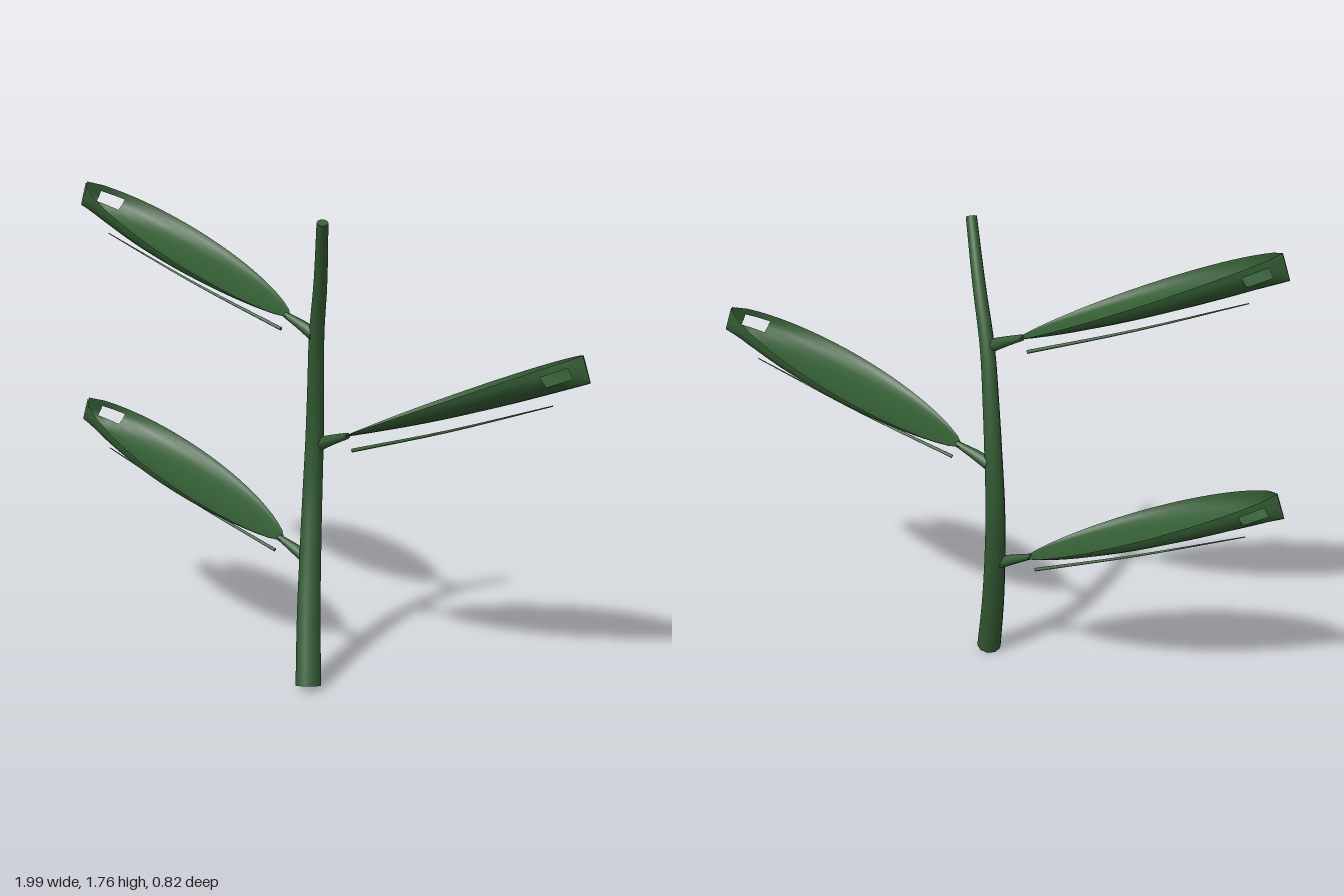
import * as THREE from 'three';

const V = (x, y, z) => new THREE.Vector3(x, y, z);

export function createModel() {
  const group = new THREE.Group();
  const green = new THREE.MeshStandardMaterial({ color: 0x335c33, side: THREE.DoubleSide });
  green.name = 'leafGreen';

  const add = (parent, name, geometry) => {
    const mesh = new THREE.Mesh(geometry, green);
    mesh.name = name;
    parent.add(mesh);
    return mesh;
  };

  // Round rod along a curve, tapering from r0 to r1, with flat end caps
  function taperedRod(parent, name, points, r0, r1, segments, sides) {
    const curve = new THREE.CatmullRomCurve3(points);
    const geometry = new THREE.TubeGeometry(curve, segments, 1, sides);
    const pos = geometry.attributes.position;
    const p = V(0, 0, 0);
    for (let i = 0; i < pos.count; i++) {
      const t = Math.floor(i / (sides + 1)) / segments;
      const c = curve.getPointAt(t);
      p.fromBufferAttribute(pos, i).sub(c).multiplyScalar(r0 + (r1 - r0) * t).add(c);
      pos.setXYZ(i, p.x, p.y, p.z);
    }
    add(parent, name, geometry);
    for (const [t, r, s] of [[0, r0, -1], [1, r1, 1]]) {
      const cap = add(parent, name + 'Cap', new THREE.CircleGeometry(r, sides));
      const c = curve.getPointAt(t);
      cap.position.copy(c);
      cap.lookAt(c.clone().addScaledVector(curve.getTangentAt(t), s));
    }
  }

  // Cupped blade: a grid folded up around its keel, closing into an upright edge at the tip
  function bladeGeometry(base, tip) {
    const cols = 12, rows = 24;
    const geometry = new THREE.PlaneGeometry(2, 1, cols, rows);
    const along = tip.clone().sub(base);
    const side = V(-along.z, 0, along.x).normalize().negate();
    const up = side.clone().cross(along).normalize();
    if (up.y < 0) up.negate();
    const pos = geometry.attributes.position;
    for (let i = 0; i < pos.count; i++) {
      const u = pos.getX(i);
      const t = THREE.MathUtils.clamp(0.5 - pos.getY(i), 0, 1);
      const width = 0.417 * Math.pow(t * (1 - t), 0.7) + 0.003;
      const depth = 0.095 * (1 - (1 - t) ** 2);
      const lift = depth * Math.abs(u) ** 1.6 - 0.015 * Math.sin(Math.PI * t);
      const p = base.clone().addScaledVector(along, t)
        .addScaledVector(side, width * Math.sin(u * Math.PI / 2)).addScaledVector(up, lift);
      pos.setXYZ(i, p.x, p.y, p.z);
    }
    // Small opening in the inner wall near the tip
    const index = Array.from(geometry.index.array);
    const kept = index.filter((_, k) => {
      const cell = Math.floor(k / 6);
      const row = Math.floor(cell / cols), col = cell % cols;
      return !((row === 21 || row === 22) && (col === 1 || col === 2));
    });
    geometry.setIndex(kept);
    geometry.computeVertexNormals();
    return geometry;
  }

  // One leaf: stalk, blade and the thin rib running below it
  function leaf(name, x, y, turn) {
    const g = new THREE.Group();
    g.name = name;
    taperedRod(g, 'leafStalk', [V(0.0, 0.455, 0.03), V(-0.06, 0.482, 0.045), V(-0.125, 0.508, 0.062)],
      0.025, 0.011, 4, 8);
    add(g, 'leafBlade', bladeGeometry(V(-0.1, 0.5, 0.058), V(-0.997, 0.826, 0.37)));
    taperedRod(g, 'leafRib', [V(-0.14, 0.455, 0.07), V(-0.5, 0.583, 0.2), V(-0.87, 0.73, 0.33)],
      0.007, 0.002, 8, 6);
    g.position.set(x, y, 0);
    g.rotation.y = turn;
    group.add(g);
  }

  // Curved main stem
  taperedRod(group, 'stem', [
    V(0.128, 0.016, 0.12), V(0.065, 0.25, 0.07), V(0.017, 0.47, 0.025), V(-0.015, 0.7, -0.01),
    V(-0.013, 0.9, -0.018), V(0.01, 1.1, -0.005), V(0.05, 1.3, 0.022), V(0.12, 1.5, 0.06),
    V(0.21, 1.725, 0.122),
  ], 0.047, 0.02, 24, 10);

  // Alternating leaves
  leaf('lowerLeaf', 0, 0, 0);
  leaf('middleLeaf', 0, 0.425, Math.PI);
  leaf('upperLeaf', 0.045, 0.848, 0);

  return group;
}
